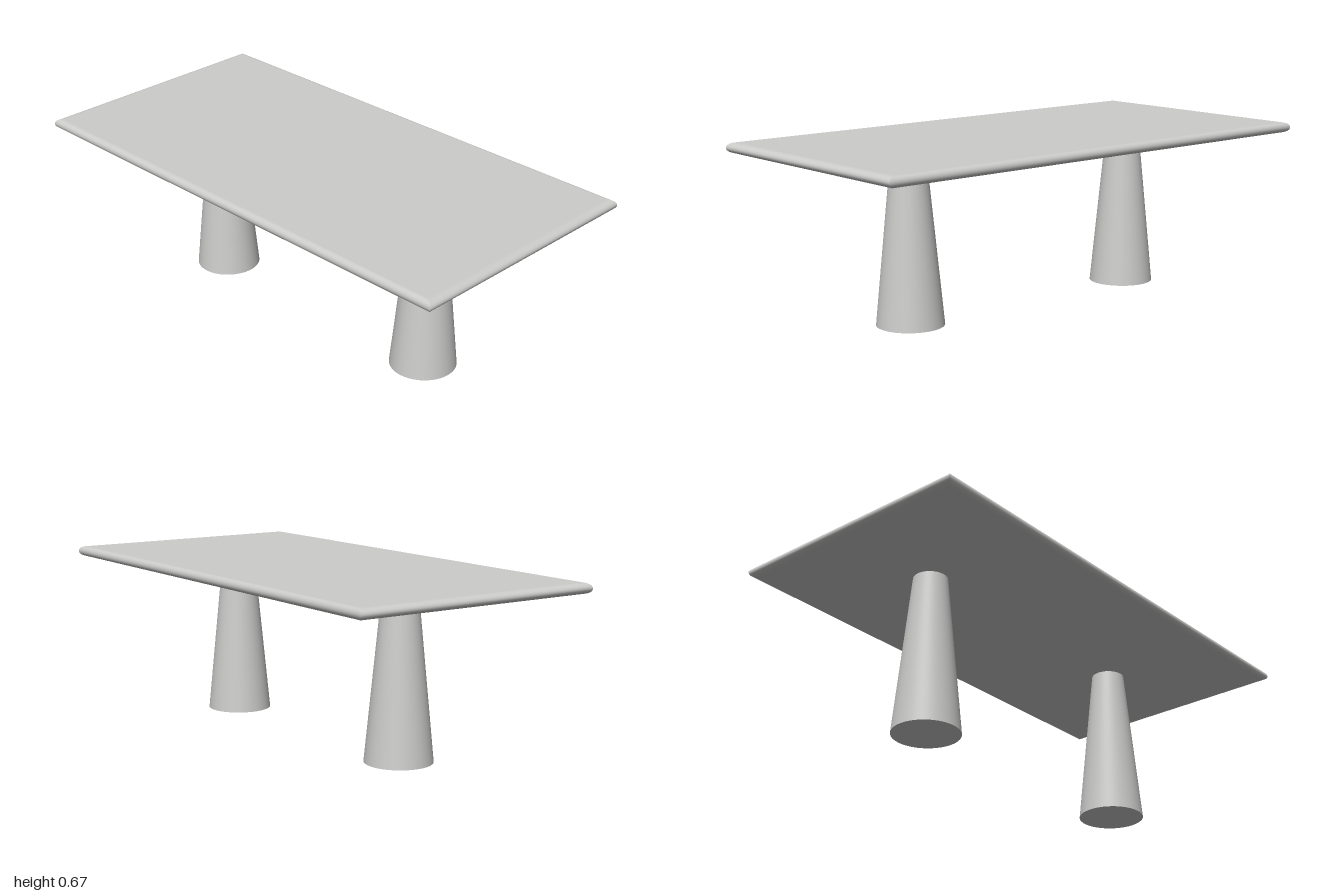
import * as THREE from 'three';

const BOTTOM = 0.628, TOP = 0.668;
const HALF_X = 1, HALF_Z = 0.506;
const ROUND_X = 0.03, ROUND_Z = 0.021;
const STEPS = 12;
// Corners run counter-clockwise seen from above
const CORNERS = [[-1, 1], [1, 1], [1, -1], [-1, -1]];

// Slab with a bullnose edge on four sides, meeting in mitred corners
function createSlabGeometry() {
  const positions = [], index = [];
  const half = (TOP - BOTTOM) / 2;
  const addPoint = ([sx, sz], angle) => {
    const inset = 1 - Math.cos(angle);
    positions.push(
      sx * (HALF_X - ROUND_X * inset),
      BOTTOM + half + half * Math.sin(angle),
      sz * (HALF_Z - ROUND_Z * inset)
    );
    return positions.length / 3 - 1;
  };

  // Rounded sides, each with its own vertices so the mitres stay sharp
  CORNERS.forEach((corner, side) => {
    const next = CORNERS[(side + 1) % 4];
    for (let i = 0; i <= STEPS; i++) {
      const angle = (i / STEPS - 0.5) * Math.PI;
      const a = addPoint(corner, angle);
      const b = addPoint(next, angle);
      if (i < STEPS) index.push(a, b, b + 2, a, b + 2, a + 2);
    }
  });

  // Flat upper and lower faces
  const [t0, t1, t2, t3] = CORNERS.map((c) => addPoint(c, Math.PI / 2));
  index.push(t0, t1, t2, t0, t2, t3);
  const [b0, b1, b2, b3] = CORNERS.map((c) => addPoint(c, -Math.PI / 2));
  index.push(b0, b2, b1, b0, b3, b2);

  const geometry = new THREE.BufferGeometry();
  geometry.setAttribute('position', new THREE.Float32BufferAttribute(positions, 3));
  geometry.setIndex(index);
  geometry.computeVertexNormals();
  return geometry;
}

export function createModel() {
  const table = new THREE.Group();
  table.name = 'table';
  const stone = new THREE.MeshStandardMaterial({ color: 0xcccccb });
  stone.name = 'pale grey';

  const tableTop = new THREE.Mesh(createSlabGeometry(), stone);
  tableTop.name = 'tableTop';
  table.add(tableTop);

  // Tapered round legs
  const legGeometry = new THREE.CylinderGeometry(0.066, 0.128, BOTTOM, 64);
  for (const [name, x] of [['rightLeg', -0.55], ['leftLeg', 0.544]]) {
    const leg = new THREE.Mesh(legGeometry, stone);
    leg.name = name;
    leg.position.set(x, BOTTOM / 2, 0);
    table.add(leg);
  }
  return table;
}
